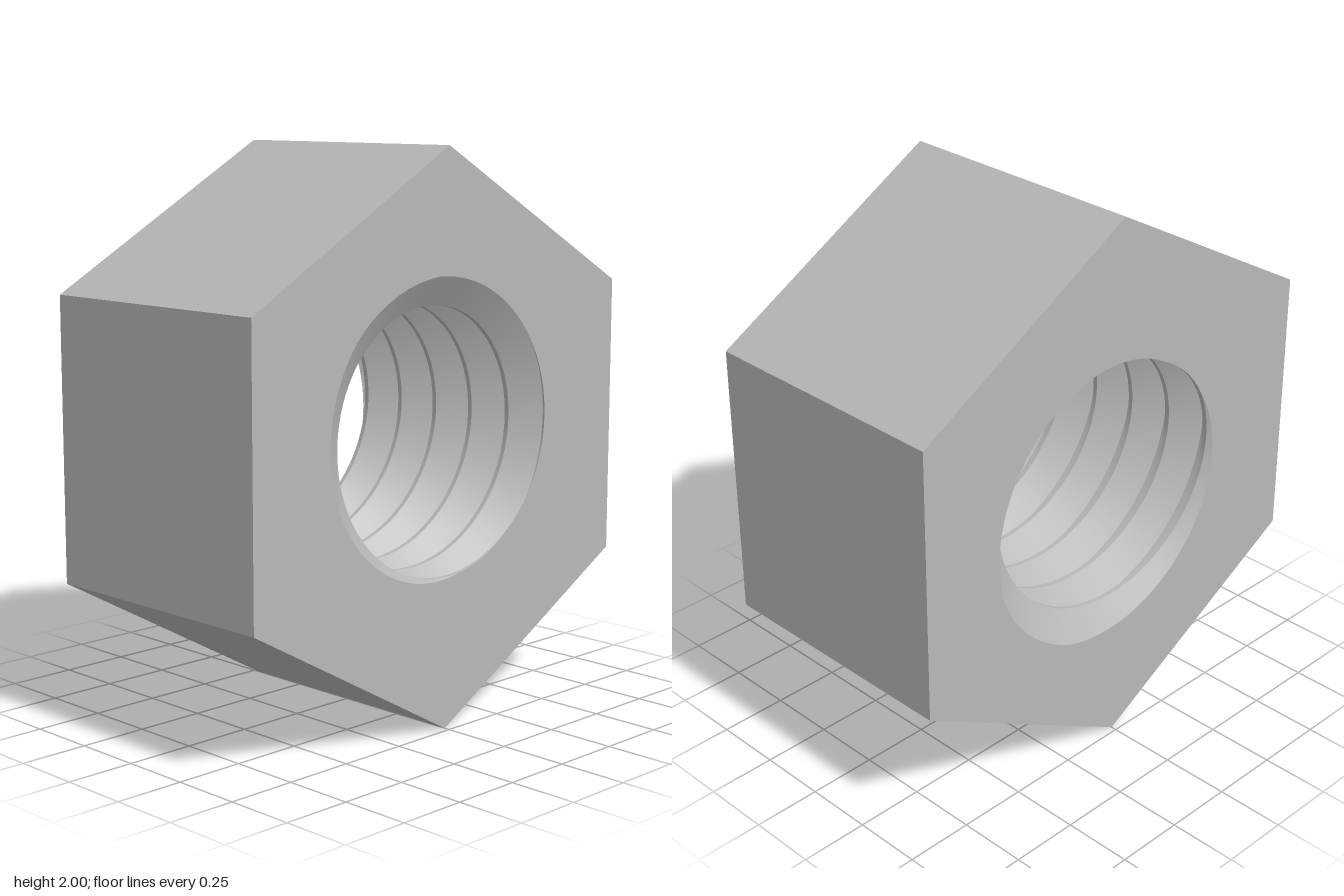
import * as THREE from 'three';
import { toCreasedNormals } from 'three/addons/utils/BufferGeometryUtils.js';

const HALF = 0.48;          // half thickness along z
const APOTHEM = Math.sqrt(3) / 2;
const STRETCH_X = 1.022;    // the hexagon is slightly wider than regular
const R_CREST = 0.463, R_ROOT = 0.57;
const COLS = 96;            // multiple of 12, so columns hit the hexagon corners
const DEG = Math.PI / 180;
const FRONT_CREST = 295 * DEG;              // where the crest meets the front face
const PITCH = 2 * HALF / (5 + 160 / 360);   // right-handed thread

// Thread cross-section over one pitch: [fraction, radius]
const PROFILE = [[0, R_CREST], [0.05, R_CREST], [0.44, R_ROOT], [0.56, R_ROOT], [0.95, R_CREST], [1, R_CREST]];

const crestZ = (a) => HALF + PITCH * (a - FRONT_CREST) / (2 * Math.PI);

function threadRadius(a, z) {
  const t = (z - crestZ(a)) / PITCH;
  const u = t - Math.floor(t);
  for (let i = 1; i < PROFILE.length; i++) {
    const [u0, r0] = PROFILE[i - 1], [u1, r1] = PROFILE[i];
    if (u <= u1) return r0 + (r1 - r0) * (u - u0) / (u1 - u0);
  }
  return R_CREST;
}

function hexRadius(a) {
  const sector = 60 * DEG;
  return APOTHEM / Math.cos(a - Math.round(a / sector) * sector);
}

// Sweeps rows around the z axis; each row maps an angle to [radius, z]
function sweep(rows, crease) {
  const pos = [];
  const point = (j, k) => {
    const a = j / COLS * 2 * Math.PI;
    const [r, z] = rows[k](a);
    return new THREE.Vector3(r * Math.cos(a) * STRETCH_X, r * Math.sin(a) + 1, z);
  };
  const tri = (...p) => {
    if (new THREE.Triangle(...p).getArea() > 1e-8) p.forEach((v) => pos.push(v.x, v.y, v.z));
  };
  for (let j = 0; j < COLS; j++) {
    for (let k = 0; k < rows.length - 1; k++) {
      const a = point(j, k), b = point(j + 1, k), c = point(j, k + 1), d = point(j + 1, k + 1);
      tri(a, c, b);
      tri(b, c, d);
    }
  }
  const geo = new THREE.BufferGeometry();
  geo.setAttribute('position', new THREE.Float32BufferAttribute(pos, 3));
  return toCreasedNormals(geo, crease);
}

export function createModel() {
  const group = new THREE.Group();
  group.name = 'hexNut';
  const steel = new THREE.MeshStandardMaterial({ color: 0xb8b8b8 });
  steel.name = 'steel grey';

  const add = (name, rows, crease) => {
    const mesh = new THREE.Mesh(sweep(rows, crease), steel);
    mesh.name = name;
    group.add(mesh);
  };
  const rim = (z) => (a) => [threadRadius(a, z), z];
  const hex = (z) => (a) => [hexRadius(a), z];

  // Hexagonal body: two pierced end faces and six flats
  add('frontFace', [rim(HALF), hex(HALF)], 0.3);
  add('sideFlats', [hex(HALF), hex(-HALF)], 0.3);
  add('backFace', [hex(-HALF), rim(-HALF)], 0.3);

  // Threaded bore: profile rows follow the helix and are trimmed at the end faces
  const bore = [rim(-HALF)];
  for (let turn = -8; turn <= 3; turn++) {
    for (const [u] of PROFILE.slice(1, -1)) {
      bore.push((a) => {
        const z = THREE.MathUtils.clamp(crestZ(a) + (turn + u) * PITCH, -HALF, HALF);
        return [threadRadius(a, z), z];
      });
    }
  }
  bore.push(rim(HALF));
  add('threadedBore', bore, 0.5);
  return group;
}
